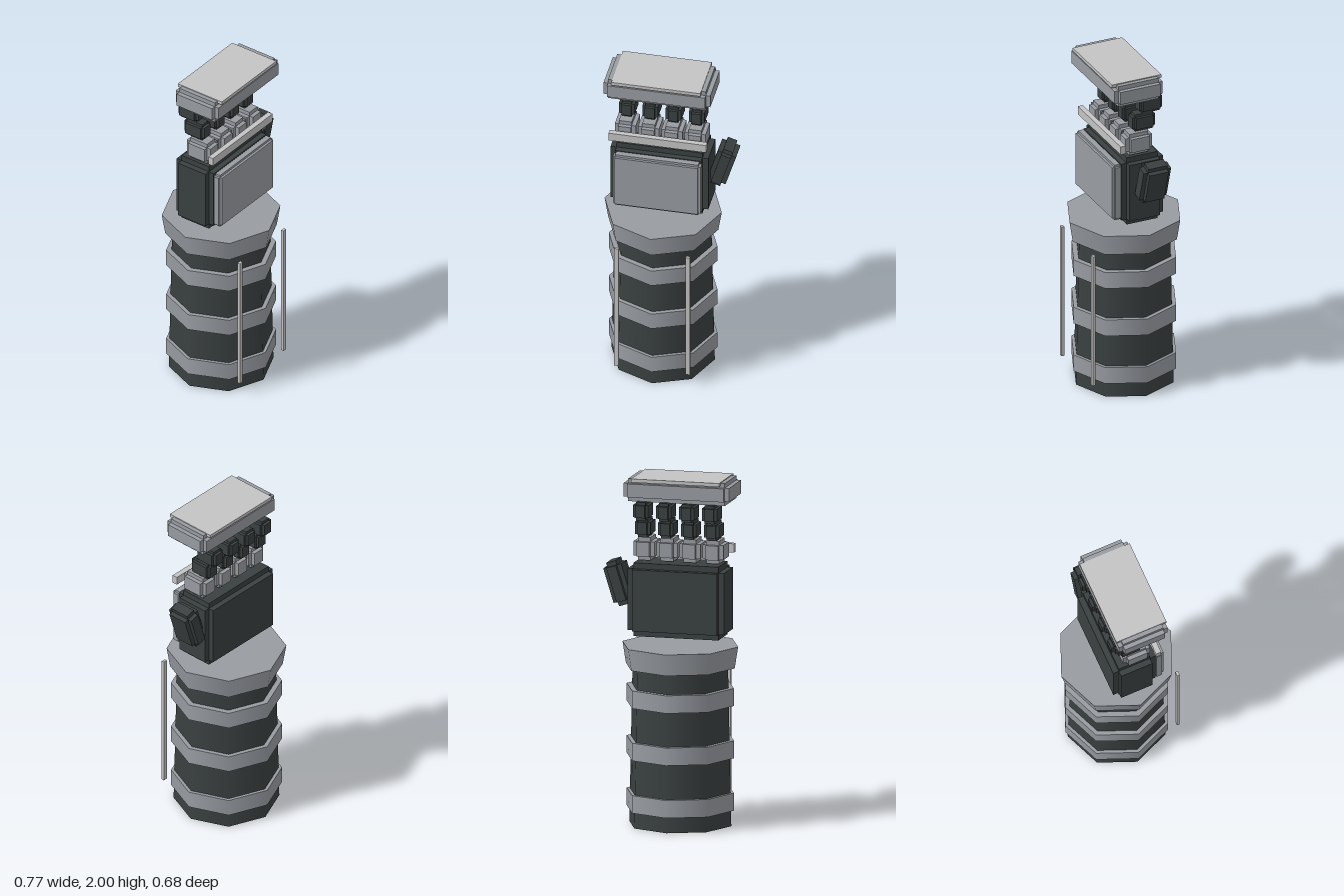
import * as THREE from 'three';

const dark = new THREE.MeshStandardMaterial({ name: 'dark steel', color: 0x3a4040 });
const grey = new THREE.MeshStandardMaterial({ name: 'grey armour', color: 0x989ca2 });
const light = new THREE.MeshStandardMaterial({ name: 'light trim', color: 0xc4c4c4 });

const CX = -0.045; // centre line of arm and hand

function add(parent, name, geometry, material, x, y, z) {
  const mesh = new THREE.Mesh(geometry, material);
  mesh.name = name;
  mesh.position.set(x, y, z);
  parent.add(mesh);
  return mesh;
}

// Block with stepped edges: three boxes, each full size along one axis only
function steppedBlock(parent, name, material, [w, h, d], step, [x, y, z]) {
  const block = new THREE.Group();
  block.name = name;
  block.position.set(x, y, z);
  const s = 2 * step;
  const sizes = [[w, h - s, d - s], [w - s, h, d - s], [w - s, h - s, d]];
  for (const size of sizes) {
    add(block, name + 'Layer', new THREE.BoxGeometry(...size), material, 0, 0, 0);
  }
  parent.add(block);
  return block;
}

function octagon(parent, name, material, rTop, rBottom, y0, y1) {
  const geometry = new THREE.CylinderGeometry(rTop, rBottom, y1 - y0, 8);
  return add(parent, name, geometry, material, CX, (y0 + y1) / 2, 0);
}

export function createModel() {
  const model = new THREE.Group();
  model.name = 'armouredArm';

  // Forearm with three bands and a flared cuff
  const forearm = new THREE.Group();
  forearm.name = 'forearm';
  model.add(forearm);
  octagon(forearm, 'forearmCore', dark, 0.28, 0.3, 0, 0.95);
  for (const y of [0.09, 0.393, 0.695]) {
    octagon(forearm, 'forearmBand', grey, 0.315, 0.315, y, y + 0.102);
  }
  octagon(forearm, 'wristCuff', grey, 0.34, 0.32, 0.913, 1.038);

  // Thin rails along the front of the forearm
  for (const side of [-1, 1]) {
    add(forearm, 'forearmRail', new THREE.BoxGeometry(0.025, 0.82, 0.017), light,
      CX + side * 0.207, 0.5, 0.289);
  }

  // Hand
  const hand = new THREE.Group();
  hand.name = 'hand';
  model.add(hand);
  steppedBlock(hand, 'palm', dark, [0.567, 0.424, 0.262], 0.034, [CX, 1.3, 0.003]);
  steppedBlock(hand, 'palmPlate', grey, [0.51, 0.35, 0.062], 0.014, [CX, 1.302, 0.156]);
  const thumb = steppedBlock(hand, 'thumb', dark, [0.11, 0.258, 0.172], 0.026, [0.304, 1.385, -0.018]);
  thumb.rotation.z = -0.3;

  // Four fingers, each a knuckle and two joints stepping backward
  for (let i = 0; i < 4; i++) {
    const x = CX + (i - 1.5) * 0.135;
    steppedBlock(hand, 'knuckle', grey, [0.122, 0.132, 0.166], 0.024, [x, 1.585, 0.02]);
    steppedBlock(hand, 'lowerFinger', dark, [0.09, 0.105, 0.142], 0.017, [x, 1.71, -0.016]);
    steppedBlock(hand, 'upperFinger', dark, [0.09, 0.105, 0.142], 0.017, [x, 1.815, -0.06]);
  }
  add(hand, 'knuckleBar', new THREE.BoxGeometry(0.567, 0.05, 0.032), light, CX, 1.583, 0.138);

  // Block carried on the fingertips, with a light top plate
  steppedBlock(hand, 'topBlock', grey, [0.62, 0.13, 0.302], 0.026, [CX, 1.93, 0.042]);
  add(hand, 'topPlate', new THREE.BoxGeometry(0.517, 0.02, 0.311), light, CX, 1.99, 0.0425);

  return model;
}
